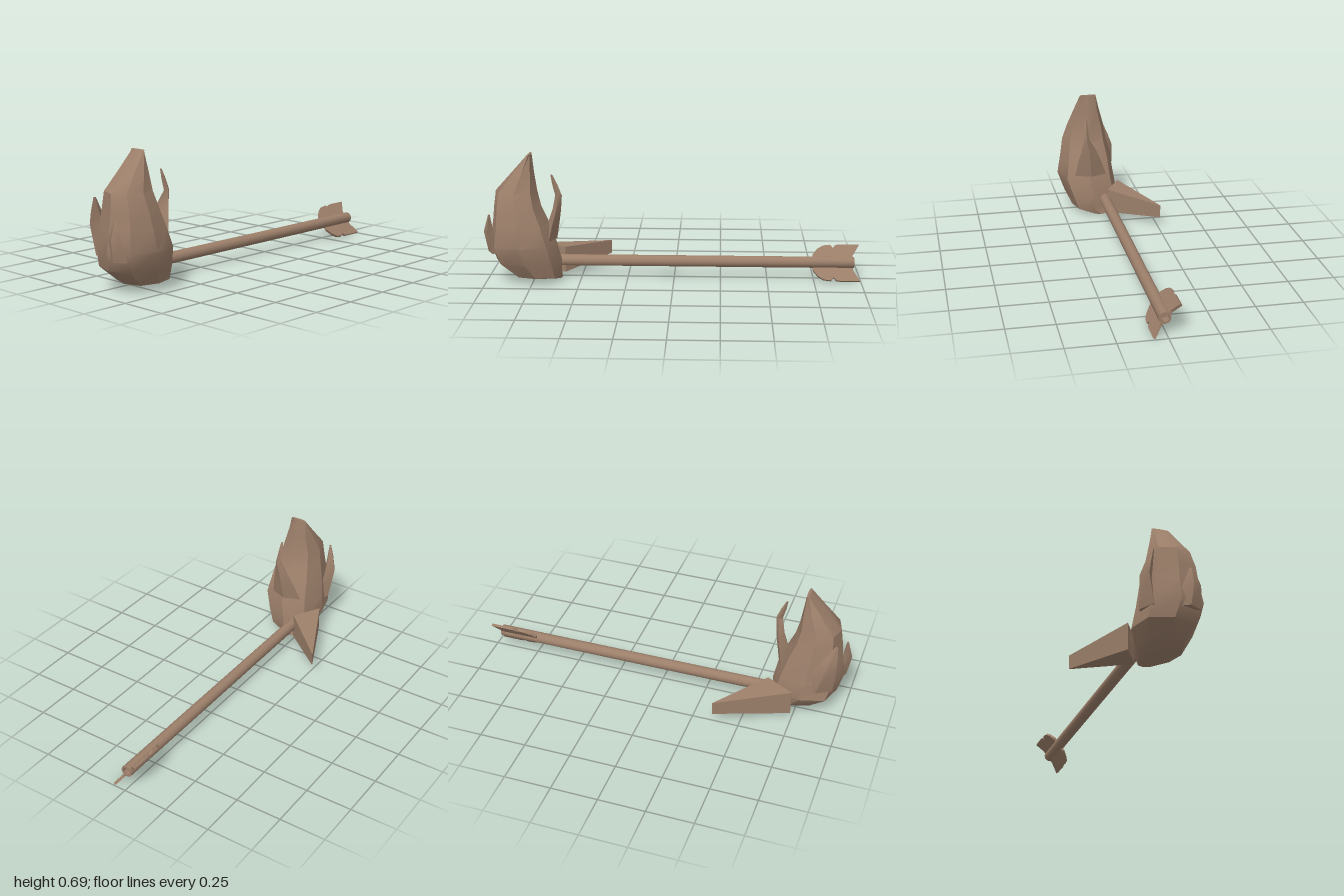
import * as THREE from 'three';
import { toCreasedNormals } from 'three/addons/utils/BufferGeometryUtils.js';

// Closed loft through level rings, each [y, xMin, xMax, zMin, zMax]
function loft(rings, sides, fullness = 1) {
  const pos = [], index = [];
  for (const [y, x0, x1, z0, z1] of rings) {
    for (let j = 0; j < sides; j++) {
      const a = (j / sides) * Math.PI * 2;
      const onAxis = Math.abs(Math.sin(2 * a)) < 0.01;
      const k = onAxis ? 1 : fullness;
      pos.push((x0 + x1) / 2 + Math.cos(a) * k * (x1 - x0) / 2, y,
        (z0 + z1) / 2 + Math.sin(a) * k * (z1 - z0) / 2);
    }
  }
  for (let i = 0; i < rings.length - 1; i++) {
    for (let j = 0; j < sides; j++) {
      const n = (j + 1) % sides;
      const a = i * sides + j, b = i * sides + n, c = a + sides, d = b + sides;
      index.push(a, c, b, b, c, d);
    }
  }
  // end caps
  const top = (rings.length - 1) * sides;
  for (let j = 1; j < sides - 1; j++) {
    index.push(0, j, j + 1, top, top + j + 1, top + j);
  }
  const g = new THREE.BufferGeometry();
  g.setAttribute('position', new THREE.Float32BufferAttribute(pos, 3));
  g.setIndex(index);
  return toCreasedNormals(g, 0.55);
}

export function createModel() {
  const model = new THREE.Group();
  const brown = new THREE.MeshStandardMaterial({ color: 0x9c7f6a });
  brown.name = 'warm brown';
  const add = (name, geometry) => {
    const mesh = new THREE.Mesh(geometry, brown);
    mesh.name = name;
    model.add(mesh);
    return mesh;
  };

  // Main flame
  add('flameBody', loft([
    [0.01, -0.70, -0.60, 0.00, 0.08],
    [0.04, -0.85, -0.60, -0.04, 0.19],
    [0.12, -0.95, -0.60, -0.08, 0.23],
    [0.22, -0.98, -0.62, -0.065, 0.265],
    [0.33, -0.96, -0.66, -0.05, 0.245],
    [0.42, -0.95, -0.70, -0.03, 0.23],
    [0.50, -0.94, -0.72, -0.015, 0.20],
    [0.60, -0.85, -0.735, 0.015, 0.165],
    [0.695, -0.765, -0.75, 0.04, 0.13],
  ], 8, 1.08));

  // Small tongues around the flame
  add('leftTongue', loft([
    [0.24, -0.69, -0.62, 0.00, 0.18],
    [0.33, -0.665, -0.605, 0.03, 0.165],
    [0.40, -0.64, -0.595, 0.06, 0.147],
    [0.48, -0.622, -0.587, 0.105, 0.135],
    [0.54, -0.637, -0.61, 0.108, 0.13],
    [0.59, -0.645, -0.635, 0.112, 0.125],
  ], 4));
  add('backTongue', loft([
    [0.18, -0.94, -0.78, -0.07, 0.02],
    [0.335, -0.955, -0.85, -0.082, -0.02],
    [0.40, -0.955, -0.89, -0.06, -0.02],
    [0.47, -0.95, -0.935, -0.03, -0.02],
  ], 4));
  add('rightTongue', loft([
    [0.18, -0.98, -0.91, 0.08, 0.21],
    [0.29, -1.0, -0.95, 0.11, 0.20],
    [0.38, -0.975, -0.965, 0.145, 0.165],
  ], 4));

  // Flat spike sweeping out behind the flame: a box tapered to a vertical edge
  const spike = new THREE.BoxGeometry(1, 1, 1);
  const p = spike.attributes.position;
  for (let i = 0; i < p.count; i++) {
    const tip = p.getX(i) > 0, up = p.getY(i) > 0, outer = p.getZ(i) > 0;
    if (tip) p.setXYZ(i, outer ? -0.36 : -0.365, up ? 0.133 : 0.06, -0.263);
    else p.setXYZ(i, outer ? -0.59 : -0.74, up ? 0.165 : 0.025, outer ? 0.0 : -0.085);
  }
  spike.computeVertexNormals();
  add('backSpike', spike);

  // Shaft with a hollow nock end
  const profile = [[0, -0.68], [0.031, -0.68], [0.031, 0.965], [0.021, 0.965], [0.021, 0.92], [0, 0.92]]
    .map(([r, h]) => new THREE.Vector2(r, h));
  const shaft = add('shaft', toCreasedNormals(new THREE.LatheGeometry(profile, 12), 0.7));
  shaft.rotation.z = -Math.PI / 2;
  shaft.position.set(0, 0.097, 0.012);

  // Pair of notched feather vanes
  const outline = [[0.745, 0.02], [0.745, 0.045], [0.77, 0.078], [0.80, 0.098], [0.84, 0.103],
    [0.855, 0.085], [0.868, 0.102], [0.89, 0.105], [0.995, 0.105], [0.96, 0.045], [0.96, 0.024]]
    .map(([x, y]) => new THREE.Vector2(x, y));
  const vane = new THREE.ExtrudeGeometry(new THREE.Shape(outline), { depth: 0.014, bevelEnabled: false });
  vane.translate(0, 0, -0.007);
  for (const [name, turn] of [['upperVane', 0], ['lowerVane', Math.PI]]) {
    const mesh = add(name, vane);
    mesh.rotation.x = turn - 0.66;
    mesh.position.set(0, 0.092, 0.006);
  }
  return model;
}
